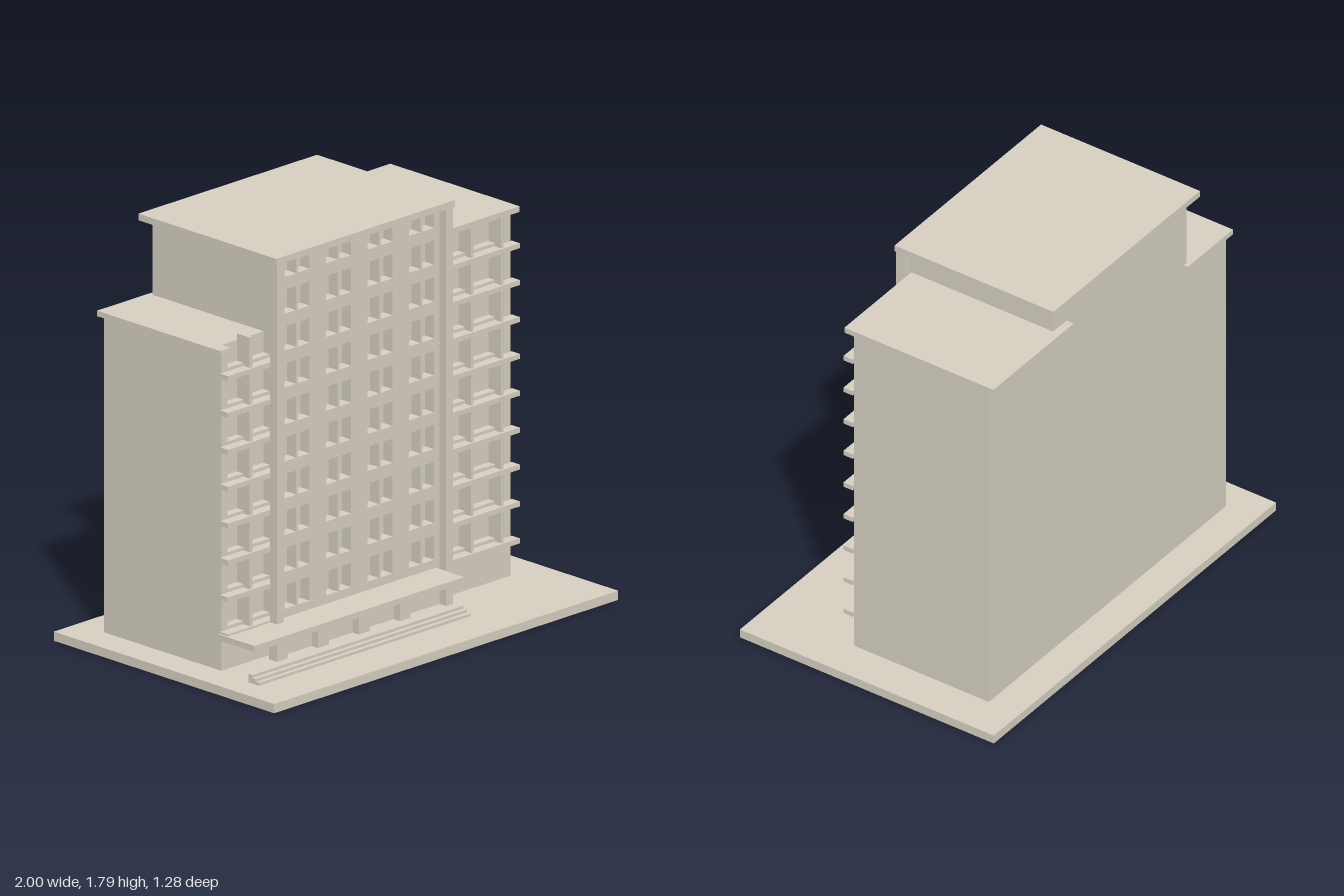
import * as THREE from 'three';

const stone = new THREE.MeshStandardMaterial({ color: 0xd6cfc1 });
stone.name = 'warmStone';

// Box given by its limits on each axis
function block(parent, name, x0, x1, y0, y1, z0, z1) {
  const geometry = new THREE.BoxGeometry(x1 - x0, y1 - y0, z1 - z0);
  geometry.translate((x0 + x1) / 2, (y0 + y1) / 2, (z0 + z1) / 2);
  const mesh = new THREE.Mesh(geometry, stone);
  mesh.name = name;
  parent.add(mesh);
}

function section(parent, name) {
  const group = new THREE.Group();
  group.name = name;
  parent.add(group);
  return group;
}

// Counter-clockwise rectangle
const rect = (path, x0, x1, y0, y1) =>
  path.moveTo(x0, y0).lineTo(x1, y0).lineTo(x1, y1).lineTo(x0, y1).closePath();

const GROUND = 0.04;
const BACK = -0.487;
const RECESS = 0.157; // back of the balcony recesses
const WALL = 0.194; // front wall of the wings
const FLOOR = 0.1605;
const FIRST_SLAB = 0.19;
const SLAB = 0.022;

// Balcony floors: projecting slab, recessed floor with curb and deep fins
function balconies(parent, count, slabX, openX, fins, topY) {
  for (let i = 0; i < count; i++) {
    const y = FIRST_SLAB + i * FLOOR;
    const top = i === count - 1 ? topY : y + FLOOR;
    block(parent, 'balconySlab', slabX[0], slabX[1], y, y + SLAB, WALL, 0.24);
    block(parent, 'balconyCurb', openX[0], openX[1], y, y + SLAB + 0.014, RECESS, WALL);
    for (const [a, b] of fins) block(parent, 'balconyFin', a, b, y + SLAB, top, RECESS, 0.23);
  }
}

function buildTower(parent) {
  const tower = section(parent, 'tower');
  block(tower, 'towerBody', -0.58, 0.364, GROUND, 1.766, BACK, 0.185);
  block(tower, 'towerRoof', -0.625, 0.413, 1.766, 1.795, -0.523, 0.278);
  for (const x of [-0.62, 0.364]) block(tower, 'cornerPier', x, x + 0.04, GROUND, 1.766, 0.235, 0.276);

  // Facade pierced by ten rows of four window pairs
  const wall = new THREE.Shape();
  rect(wall, -0.58, 0.364, GROUND, 1.766);
  for (let row = 0; row < 10; row++) {
    const y = 0.24 + row * FLOOR;
    for (let column = 0; column < 4; column++) {
      const x = -0.537 + column * 0.241;
      for (const [a, b] of [[0, 0.068], [0.08, 0.146]]) {
        const hole = new THREE.Path();
        rect(hole, x + a, x + b, y, Math.min(y + 0.105, 1.76));
        wall.holes.push(hole);
      }
    }
  }
  const geometry = new THREE.ExtrudeGeometry(wall, { depth: 0.052, bevelEnabled: false });
  geometry.translate(0, 0, 0.185);
  const facade = new THREE.Mesh(geometry, stone);
  facade.name = 'windowFacade';
  tower.add(facade);
}

function buildLeftWing(parent) {
  const wing = section(parent, 'leftWing');
  block(wing, 'wingBody', 0.36, 0.82, GROUND, 1.626, BACK, RECESS);
  block(wing, 'endWall', 0.781, 0.82, GROUND, 1.626, RECESS, WALL);
  block(wing, 'groundWall', 0.36, 0.781, GROUND, FIRST_SLAB, RECESS, WALL);
  block(wing, 'wingRoof', 0.27, 0.839, 1.626, 1.651, -0.523, 0.228);
  balconies(wing, 9, [0.36, 0.828], [0.36, 0.781], [[0.555, 0.569], [0.729, 0.743]], 1.626);
}

function buildRightWing(parent) {
  // Lower wing, its roof notched over the top balcony
  const wing = section(parent, 'rightWing');
  block(wing, 'wingBody', -0.86, -0.58, GROUND, 1.416, BACK, RECESS);
  block(wing, 'endWall', -0.86, -0.824, GROUND, 1.416, RECESS, WALL);
  block(wing, 'groundWall', -0.824, -0.58, GROUND, FIRST_SLAB, RECESS, WALL);
  block(wing, 'wingRoof', -0.882, -0.56, 1.416, 1.44, -0.507, 0.158);
  block(wing, 'roofCorner', -0.882, -0.822, 1.416, 1.44, 0.158, 0.21);
  balconies(wing, 8, [-0.868, -0.58], [-0.824, -0.58], [[-0.733, -0.717]], 1.468);
}

function buildEntrance(parent) {
  const entrance = section(parent, 'entrance');
  block(entrance, 'canopy', -0.876, 0.342, 0.177, 0.203, WALL, 0.402);
  for (const x of [-0.62, -0.378, -0.14, 0.097]) {
    block(entrance, 'canopyColumn', x, x + 0.063, GROUND, 0.177, 0.23, 0.274);
  }
  // Steps descend towards the front
  for (let i = 0; i < 3; i++) {
    block(entrance, 'step', -0.882, 0.346, GROUND + 0.012 * (2 - i), 0.076 - 0.012 * i, 0.372, 0.395 + 0.02 * i);
  }
}

export function createModel() {
  const model = new THREE.Group();
  model.name = 'apartmentBlock';
  block(model, 'basePlate', -1, 1, 0, GROUND, -0.64, 0.64);
  buildTower(model);
  buildLeftWing(model);
  buildRightWing(model);
  buildEntrance(model);
  return model;
}
